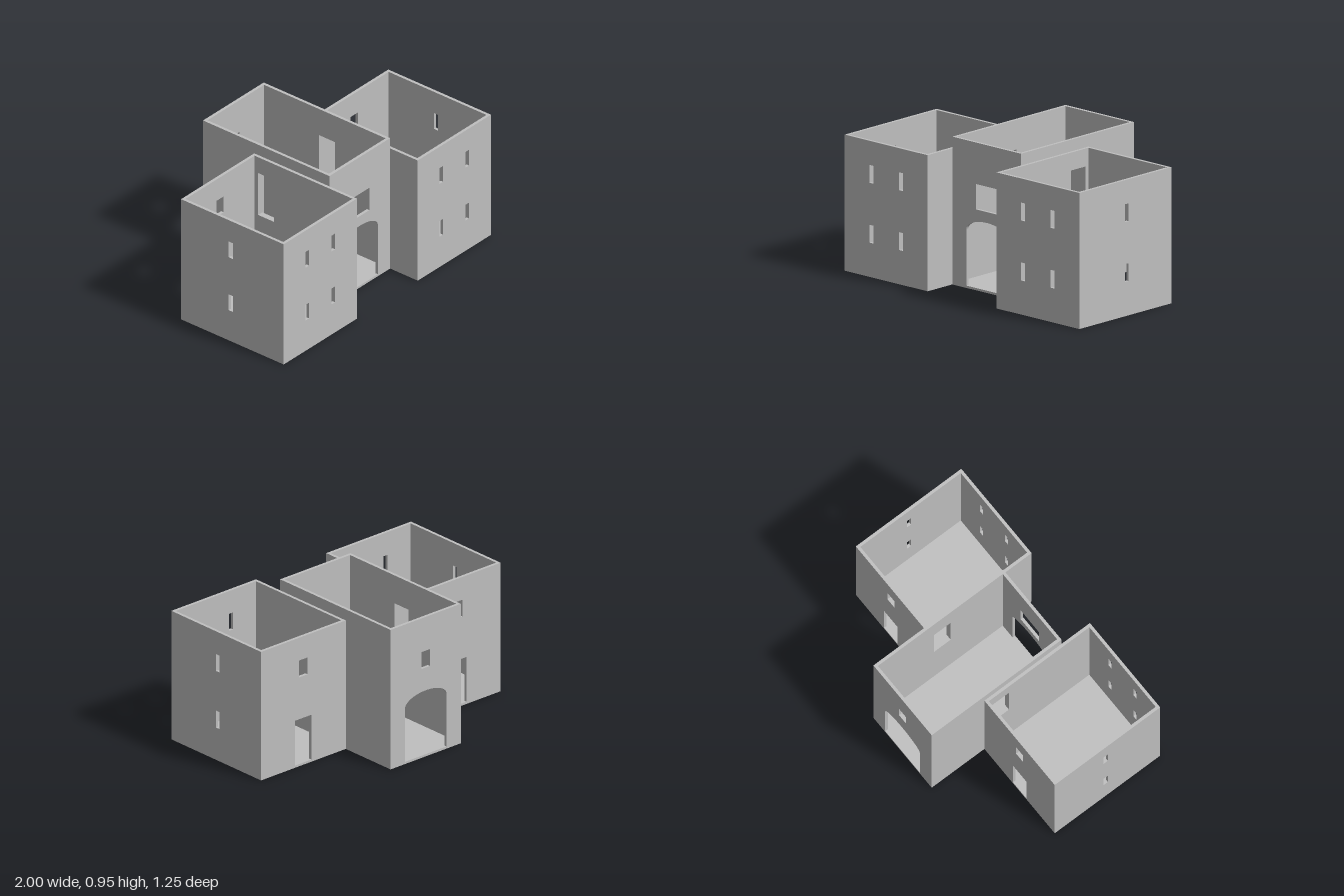
import * as THREE from 'three';

const T = 0.02;       // wall thickness
const FLOOR = 0.015;  // slab thickness
const stone = new THREE.MeshStandardMaterial({ color: 0xbfbfbf });
stone.name = 'grey stone';

// Rectangular opening
function rect(x0, x1, y0, y1) {
  return new THREE.Path([[x0, y0], [x1, y0], [x1, y1], [x0, y1]].map(p => new THREE.Vector2(...p))).closePath();
}

// Gateway opening with a low elliptical head
function arch(half, y0, spring, rise) {
  const p = new THREE.Path();
  p.moveTo(-half, y0);
  p.lineTo(half, y0);
  p.lineTo(half, spring);
  p.absellipse(0, spring, half, rise, 0, Math.PI, false, 0);
  p.closePath();
  return p;
}

// Upright wall from a to b along its own axis, with openings cut through
function wall(name, a, b, height, holes) {
  const shape = new THREE.Shape([[a, 0], [b, 0], [b, height], [a, height]].map(p => new THREE.Vector2(...p)));
  shape.holes.push(...holes);
  const geo = new THREE.ExtrudeGeometry(shape, { depth: T, bevelEnabled: false, curveSegments: 20 });
  const mesh = new THREE.Mesh(geo, stone);
  mesh.name = name;
  return mesh;
}

// Open-topped block: four walls around a floor slab
function block(name, [x0, x1], [z0, z1], height, { front = [], back = [], plusX = [], minusX = [] }) {
  const g = new THREE.Group();
  g.name = name;
  const f = wall('frontWall', x0, x1, height, front);
  f.position.z = z1 - T;
  const b = wall('backWall', x0, x1, height, back);
  b.position.z = z0;
  const sides = [['leftWall', x1, plusX], ['rightWall', x0 + T, minusX]].map(([n, x, holes]) => {
    const m = wall(n, z0 + T, z1 - T, height, holes);
    m.rotation.y = -Math.PI / 2; // wall axis runs along +z, thickness towards -x
    m.position.x = x;
    return m;
  });
  const floor = new THREE.Mesh(new THREE.BoxGeometry(x1 - x0 - 2 * T, FLOOR, z1 - z0 - 2 * T), stone);
  floor.name = 'floor';
  floor.position.set((x0 + x1) / 2, FLOOR / 2, (z0 + z1) / 2);
  g.add(f, b, ...sides, floor);
  return g;
}

export function createModel() {
  const model = new THREE.Group();
  model.name = 'gatehouse';
  const storeys = [[0.22, 0.335], [0.605, 0.72]];
  const passage = () => rect(-0.16, -0.03, 0.455, 0.76); // upper doorway between blocks

  // Central gate block
  model.add(block('gateBlock', [-0.293, 0.293], [-0.623, 0.4], 0.95, {
    front: [arch(0.174, FLOOR, 0.375, 0.075), rect(-0.093, 0.093, 0.52, 0.683)],
    back: [arch(0.174, FLOOR, 0.375, 0.075), rect(-0.035, 0.035, 0.605, 0.72)],
    plusX: [passage()],
    minusX: [passage()],
  }));

  // Mirrored side wings with slit windows and a back door
  for (const s of [1, -1]) {
    const span = (a, b) => [s * a, s * b].sort((p, q) => p - q);
    const slits = storeys.map(y => rect(0.178, 0.211, ...y));
    const inner = [passage()];
    model.add(block(s > 0 ? 'leftWing' : 'rightWing', span(0.293, 1), [-0.208, 0.623], 0.875, {
      front: storeys.flatMap(y => [rect(...span(0.504, 0.537), ...y), rect(...span(0.755, 0.788), ...y)]),
      back: [rect(...span(0.58, 0.715), FLOOR, 0.32), rect(...span(0.612, 0.682), 0.605, 0.72)],
      plusX: s > 0 ? slits : inner,
      minusX: s > 0 ? inner : slits,
    }));
  }
  return model;
}
